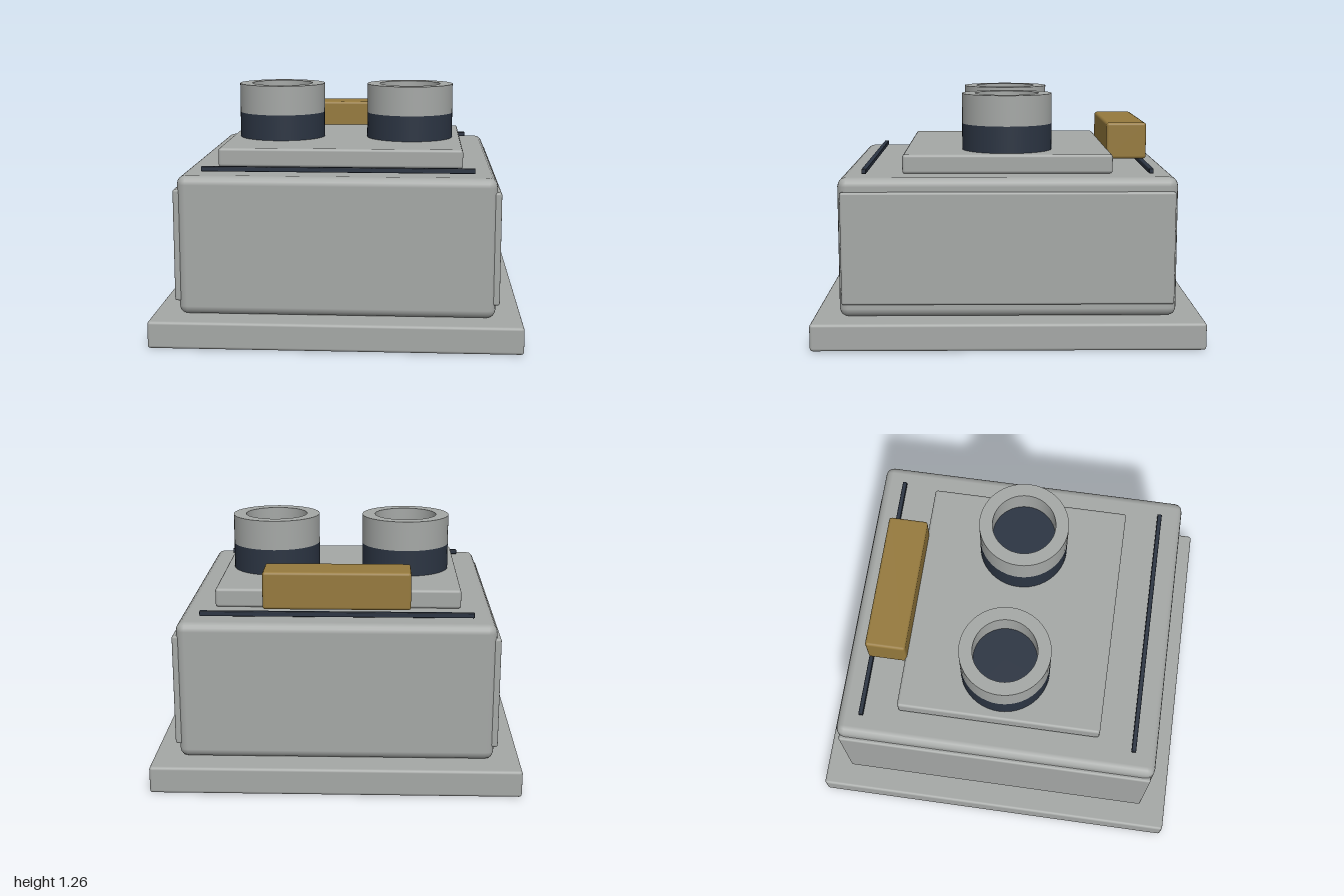
import * as THREE from 'three';
import { RoundedBoxGeometry } from 'three/addons/geometries/RoundedBoxGeometry.js';

export function createModel() {
  const model = new THREE.Group();
  model.name = 'twinPortModule';

  const paint = (name, color) => {
    const m = new THREE.MeshStandardMaterial({ color });
    m.name = name;
    return m;
  };
  const grey = paint('casingGrey', 0xa5a8a6);
  const navy = paint('darkNavy', 0x2b3442);
  const brass = paint('brass', 0x967a3d);

  const add = (name, geometry, material, x, y, z, parent = model) => {
    const mesh = new THREE.Mesh(geometry, material);
    mesh.name = name;
    mesh.position.set(x, y, z);
    parent.add(mesh);
    return mesh;
  };
  // Softly bevelled block given by its lower and upper height
  const block = (name, material, w, y0, y1, d, radius, x = 0, z = 0) =>
    add(name, new RoundedBoxGeometry(w, y1 - y0, d, 2, radius), material, x, (y0 + y1) / 2, z);

  // Stacked casing
  block('basePlate', grey, 1.89, 0, 0.14, 2, 0.015);
  block('body', grey, 1.62, 0.14, 0.86, 1.73, 0.045);
  block('deck', grey, 1.29, 0.86, 0.96, 1.09, 0.015);

  // Raised side panels
  for (const s of [-1, 1]) {
    block(s > 0 ? 'leftSidePanel' : 'rightSidePanel', grey, 0.06, 0.21, 0.79, 1.7, 0.012, s * 0.80);
  }

  // Thin seal strips along the front and back of the roof
  for (const s of [-1, 1]) {
    block(s > 0 ? 'frontStrip' : 'backStrip', navy, 1.4, 0.868, 0.894, 0.024, 0.004, 0, s * 0.737);
  }

  // Brass connector block at the back
  block('connectorBlock', brass, 0.755, 0.905, 1.1, 0.215, 0.015, 0, -0.643);

  // Twin ports: dark collar, hollow grey tube and dark floor
  const tubeProfile = [[0.17, 1.10], [0.24, 1.10], [0.24, 1.26], [0.17, 1.26], [0.17, 1.10]]
    .map(([r, y]) => new THREE.Vector2(r, y));
  // Separate bands keep the rim edges crisp
  const bands = tubeProfile.slice(1).map((p, i) => new THREE.LatheGeometry([tubeProfile[i], p], 48));
  for (const s of [-1, 1]) {
    const port = new THREE.Group();
    port.name = s > 0 ? 'leftPort' : 'rightPort';
    port.position.x = s * 0.36;
    model.add(port);
    add('collar', new THREE.CylinderGeometry(0.24, 0.24, 0.14, 48), navy, 0, 1.03, 0, port);
    add('portFloor', new THREE.CylinderGeometry(0.17, 0.17, 0.025, 48), navy, 0, 1.1125, 0, port);
    bands.forEach((g, i) =>
      add(['tubeUnderside', 'tubeWall', 'tubeRim', 'tubeBore'][i], g, grey, 0, 0, 0, port));
  }

  return model;
}
